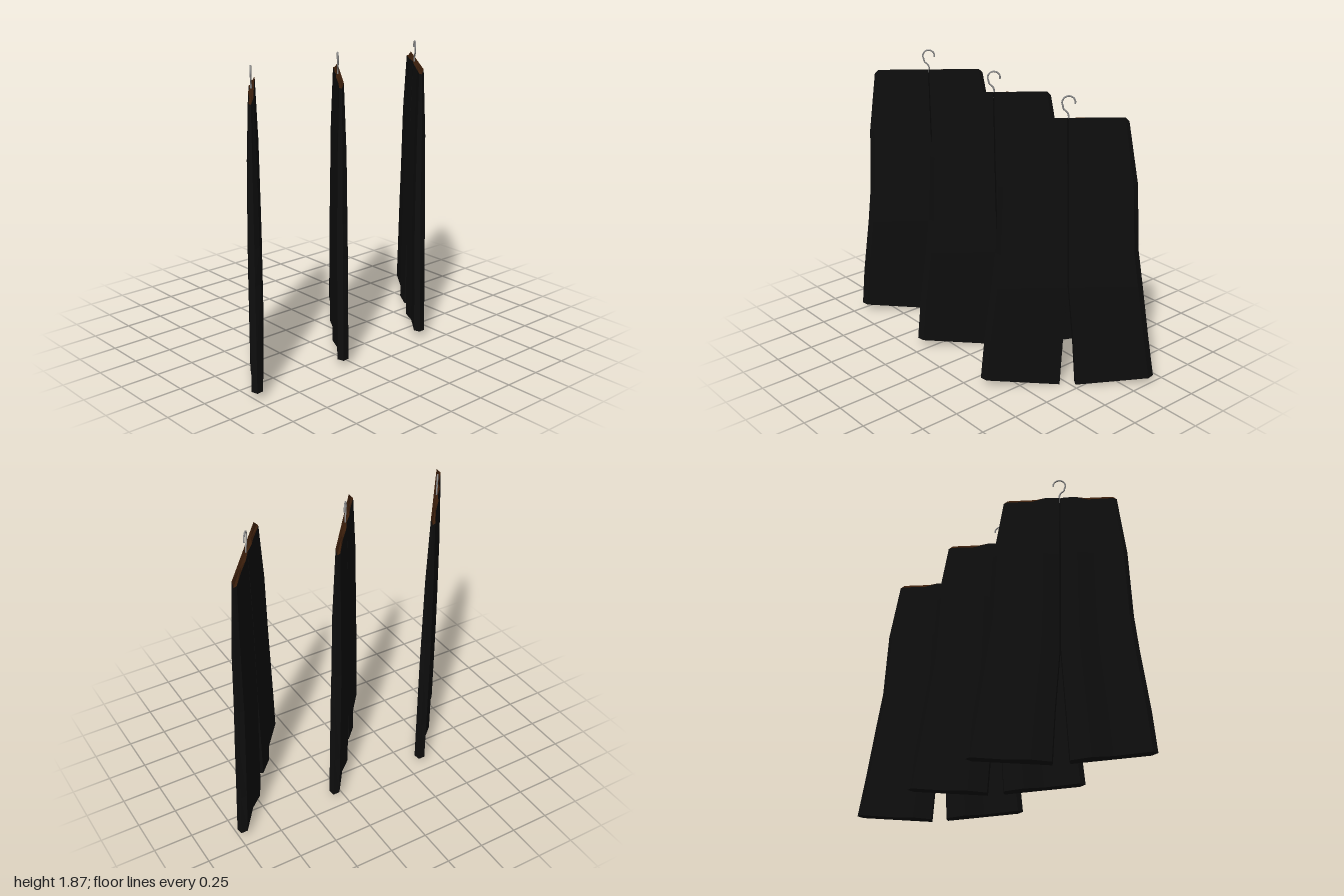
import * as THREE from 'three';

const black = new THREE.MeshStandardMaterial({ color: 0x0e0e0e });
black.name = 'black cloth';
const brown = new THREE.MeshStandardMaterial({ color: 0x3a1e0b });
brown.name = 'brown lining';
const grey = new THREE.MeshStandardMaterial({ color: 0x8c8c8c });
grey.name = 'grey metal';

// Cross-section of one trouser half: [fraction from outer to inner side, depth]
const SECTION = [
  [0, 0.008], [0.06, 0.042], [0.5, 0.034], [0.75, 0.055], [0.99, 0.038],
  [1, 0.012], [0.99, -0.024], [0.5, -0.024], [0.07, -0.024],
];

// Rows from hem to waist: [y, right outer, left outer, right inner, left inner, depth scale]
const ROWS = [
  [0, -0.538, 0.543, -0.044, 0.048, 1],
  [0.3, -0.496, 0.521, -0.022, 0.034, 1],
  [0.68, -0.44, 0.474, 0.015, 0.015, 1],
  [0.9, -0.406, 0.452, 0.02, 0.02, 0.95],
  [1.33, -0.381, 0.435, 0.03, 0.03, 0.8],
  [1.72, -0.314, 0.388, 0.037, 0.037, 0.42],
];

function surface(triangles) {
  const g = new THREE.BufferGeometry().setFromPoints(triangles);
  g.computeVertexNormals();
  return g;
}

// One leg with its half of the hips, plus the lining that fills the waist opening
function makeHalf(side) {
  const k = side > 0 ? 1 : 0;
  const last = ROWS.length - 1;
  const rings = ROWS.map((row, r) => SECTION.map(([t, v]) => {
    const u = THREE.MathUtils.lerp(row[1 + k], row[3 + k], t);
    let y = row[0];
    if (r === 0) y = 0.04 * (1 - t) + 0.005 * k; // hem slopes up to the outside
    if (r === last) y = v < 0 ? 1.742 : 1.715 + (t > 0.7 ? 0.018 : 0); // back is higher
    return new THREE.Vector3(u, y, 0.012 + (v - 0.012) * row[5]);
  }));
  const n = SECTION.length;
  const cloth = [], lining = [];
  const add = (list, a, b, c) => list.push(...(side > 0 ? [a, b, c] : [a, c, b]));
  const centre = (ring) => ring
    .reduce((sum, p) => sum.add(p), new THREE.Vector3()).divideScalar(n);
  const low = centre(rings[0]), high = centre(rings[last]);
  for (let i = 0; i < n; i++) {
    const j = (i + 1) % n;
    for (let r = 0; r < last; r++) {
      const a = rings[r][i], b = rings[r][j], c = rings[r + 1][i], d = rings[r + 1][j];
      add(cloth, a, c, b);
      add(cloth, b, c, d);
    }
    add(cloth, low, rings[0][i], rings[0][j]);
    add(lining, high, rings[last][j], rings[last][i]);
  }
  const half = new THREE.Group();
  half.name = side > 0 ? 'leftLeg' : 'rightLeg';
  const leg = new THREE.Mesh(surface(cloth), black);
  leg.name = 'legCloth';
  const waist = new THREE.Mesh(surface(lining), brown);
  waist.name = 'waistLining';
  half.add(leg, waist);
  return half;
}

// Question-mark shaped hanger hook
function makeHook() {
  const points = [[0, 1.7], [0, 1.755], [0.008, 1.772], [0.028, 1.79]];
  for (let i = 0; i <= 8; i++) {
    const a = -0.5 + (i / 8) * 3.85;
    points.push([Math.cos(a) * 0.038, 1.828 + Math.sin(a) * 0.038]);
  }
  const path = new THREE.CatmullRomCurve3(
    points.map(([u, y]) => new THREE.Vector3(u + 0.035, y, 0.014)));
  const hook = new THREE.Mesh(new THREE.TubeGeometry(path, 40, 0.005, 8), grey);
  hook.name = 'hangerHook';
  return hook;
}

export function createModel() {
  const model = new THREE.Group();
  model.name = 'hangingTrousers';
  [-0.668, -0.004, 0.66].forEach((z, i) => {
    const trousers = new THREE.Group();
    trousers.name = `trousers${i + 1}`;
    trousers.add(makeHalf(1), makeHalf(-1), makeHook());
    trousers.rotation.y = -0.66;
    trousers.position.z = z;
    model.add(trousers);
  });
  return model;
}
